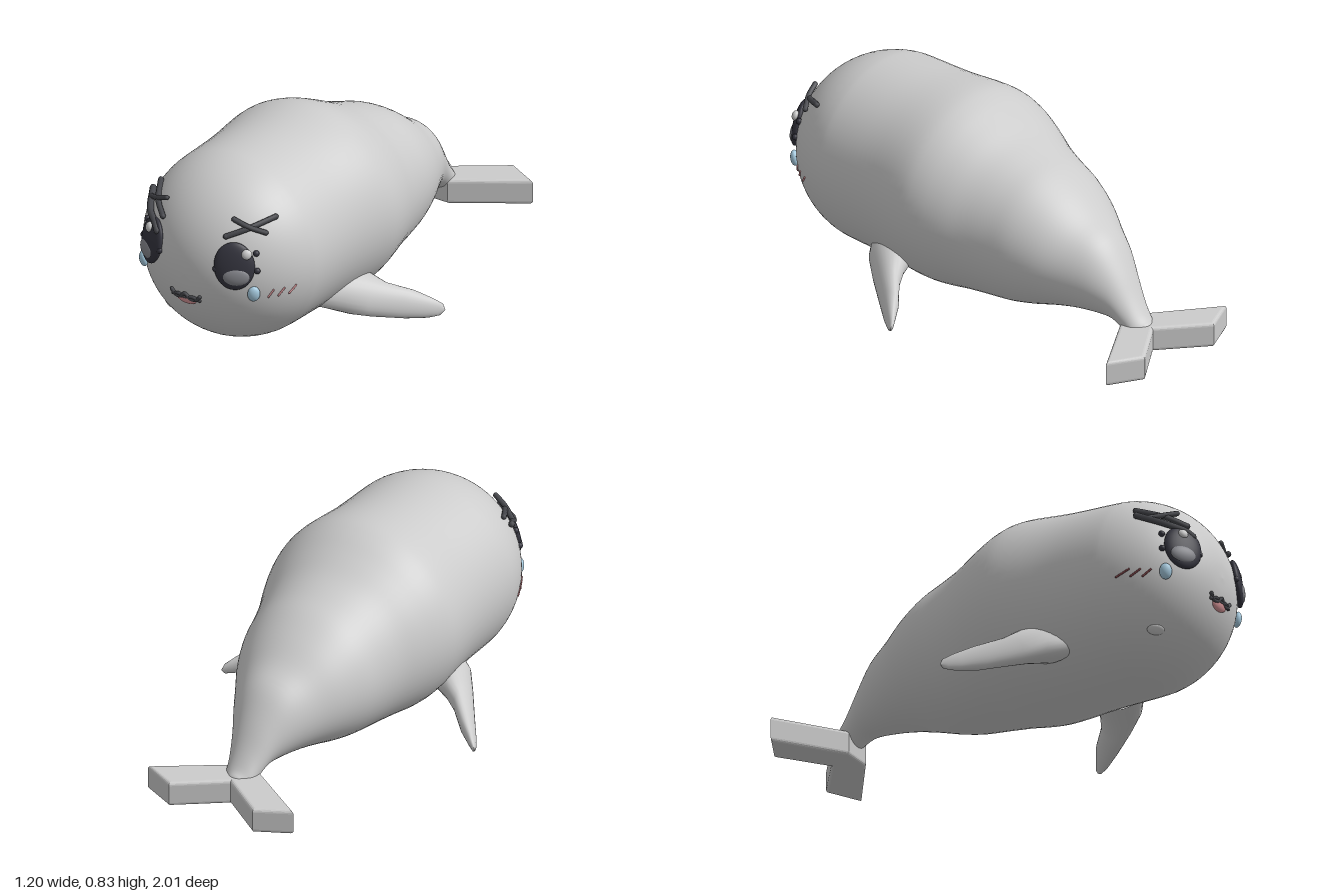
import * as THREE from 'three';

const HEAD = new THREE.Vector3(0, 0.41, 0.6), HEAD_R = 0.4;
const paint = (color) => new THREE.MeshStandardMaterial({ color });

// Smooth skin over elliptical rings; each ring is { c, u, v } (centre and two half axes)
function loft(rings, sides) {
  const pos = [], idx = [];
  rings.forEach(({ c, u, v }, i) => {
    for (let j = 0; j < sides; j++) {
      const a = (j / sides) * Math.PI * 2;
      const p = c.clone().addScaledVector(u, Math.cos(a)).addScaledVector(v, Math.sin(a));
      pos.push(p.x, p.y, p.z);
      if (i === rings.length - 1) continue;
      const k = (j + 1) % sides, r = i * sides, n = r + sides;
      idx.push(r + j, n + j, n + k, r + j, n + k, r + k);
    }
  });
  const g = new THREE.BufferGeometry();
  g.setAttribute('position', new THREE.Float32BufferAttribute(pos, 3));
  g.setIndex(idx);
  g.computeVertexNormals();
  return g;
}

// Point on the round face, seen from the front at (x, y)
function onHead(x, y, lift = 0) {
  const dy = y - HEAD.y;
  const n = new THREE.Vector3(x, dy, Math.sqrt(Math.max(0.001, HEAD_R ** 2 - x * x - dy * dy))).normalize();
  return n.multiplyScalar(HEAD_R + lift).add(HEAD);
}

export function createModel() {
  const model = new THREE.Group();
  const grey = paint(0xcccccc), dark = paint(0x34343e), charcoal = paint(0x46474c);
  const white = paint(0xdddddd), eyeGrey = paint(0x85868c), blue = paint(0xa6cbe0);
  const pink = paint(0xd9979a), red = paint(0x85494d);

  const add = (name, geometry, material) => {
    const m = new THREE.Mesh(geometry, material);
    m.name = name;
    model.add(m);
    return m;
  };
  // Flattened ball lying on the face
  const bead = (name, x, y, size, material, lift = 0, roll = 0) => {
    const m = add(name, new THREE.SphereGeometry(1, 28, 20), material);
    m.scale.set(...size);
    m.position.copy(onHead(x, y, lift));
    m.lookAt(m.position.clone().multiplyScalar(2).sub(HEAD));
    m.rotateZ(roll);
  };
  // Round stroke following the face through front-view points
  const stroke = (name, pts, r, material, lift = 0.006) => {
    const path = new THREE.CatmullRomCurve3(pts.map(([x, y]) => onHead(x, y, lift)));
    add(name, new THREE.TubeGeometry(path, 6 * pts.length, r, 8), material);
    for (const t of [0, 1]) {
      const cap = add(name + 'End', new THREE.SphereGeometry(r, 8, 6), material);
      cap.position.copy(path.getPoint(t));
    }
  };

  // Body profile: z, half width, bottom, top
  const profile = [];
  for (let i = 0; i < 9; i++) {
    const a = (i / 9) * Math.PI / 2, r = HEAD_R * Math.sin(a);
    profile.push([HEAD.z + HEAD_R * Math.cos(a), r, HEAD.y - r, HEAD.y + r]);
  }
  profile.push(
    [0.6, 0.4, 0.01, 0.81], [0.4, 0.405, 0.007, 0.818], [0.2, 0.427, 0, 0.832],
    [0.1, 0.42, 0.005, 0.815], [0, 0.39, 0.02, 0.77], [-0.1, 0.35, 0.028, 0.72],
    [-0.2, 0.32, 0.037, 0.68], [-0.3, 0.295, 0.06, 0.64], [-0.4, 0.255, 0.09, 0.58],
    [-0.5, 0.2, 0.112, 0.505], [-0.6, 0.145, 0.12, 0.44], [-0.68, 0.1, 0.115, 0.34],
    [-0.75, 0.072, 0.075, 0.23], [-0.8, 0.06, 0.05, 0.16], [-0.83, 0.035, 0.05, 0.135],
    [-0.84, 0, 0.09, 0.09]);
  const shape = new THREE.CatmullRomCurve3(profile.map(([, w, b, t]) => new THREE.Vector3(w, b, t)), false, 'catmullrom');
  const along = new THREE.CatmullRomCurve3(profile.map(([z]) => new THREE.Vector3(z, 0, 0)), false, 'catmullrom');
  const rings = [];
  for (let i = 0; i <= 96; i++) {
    const s = shape.getPoint(i / 96), z = along.getPoint(i / 96).x;
    rings.push({
      c: new THREE.Vector3(0, (s.y + s.z) / 2, z),
      u: new THREE.Vector3(Math.max(s.x, 0), 0, 0),
      v: new THREE.Vector3(0, (s.z - s.y) / 2, 0),
    });
  }
  add('body', loft(rings, 64), grey);

  // Front flipper sections: x, y, z, half depth, half height
  const fin = [
    [0.26, 0.165, 0.35, 0.12, 0.075], [0.36, 0.14, 0.295, 0.1, 0.08], [0.42, 0.105, 0.24, 0.075, 0.066],
    [0.5, 0.068, 0.145, 0.055, 0.056], [0.56, 0.043, 0.083, 0.032, 0.039],
    [0.59, 0.032, 0.05, 0.018, 0.024], [0.602, 0.028, 0.036, 0, 0]];

  for (const s of [1, -1]) {
    const side = s > 0 ? 'left' : 'right';
    add(side + 'FrontFlipper', loft(fin.map(([x, y, z, d, h]) => ({
      c: new THREE.Vector3(s * x, y, z),
      u: new THREE.Vector3(0, 0, s * d),
      v: new THREE.Vector3(0, h, -0.2 * h),
    })), 24), grey);

    // Tail fluke: rounded slab swept outwards
    const outline = new THREE.Shape([[0, 0.835], [0.2, 0.985], [0.325, 0.925], [0.06, 0.745], [0, 0.745]]
      .map(([x, y]) => new THREE.Vector2(s * x, y)));
    const fluke = new THREE.ExtrudeGeometry(outline, {
      depth: 0.078, bevelThickness: 0.015, bevelSize: 0.015, bevelSegments: 4 });
    fluke.rotateX(-Math.PI / 2).translate(0, 0.043, 0);
    add(side + 'TailFluke', fluke, grey);

    // Eye with two glints and small lashes
    bead(side + 'Eye', s * 0.203, 0.48, [0.083, 0.1, 0.026], dark, 0, s * 0.08);
    bead(side + 'EyeShine', s * 0.213, 0.44, [0.055, 0.038, 0.016], eyeGrey, 0.016);
    bead(side + 'EyeGlint', s > 0 ? 0.236 : -0.2, 0.53, [0.021, 0.021, 0.014], white, 0.024);
    for (const [x, y] of [[0.137, 0.465], [0.277, 0.46], [0.265, 0.53]])
      bead(side + 'Lash', s * x, y, [0.013, 0.013, 0.012], dark, 0.006);

    // Crossed brows
    stroke(side + 'Brow', [[s * 0.152, 0.592], [s * 0.215, 0.62], [s * 0.277, 0.65]], 0.012, charcoal, 0.01);
    stroke(side + 'Brow', [[s * 0.16, 0.65], [s * 0.215, 0.626], [s * 0.272, 0.602]], 0.011, charcoal, 0.016);

    // Tear and cheek marks
    bead(side + 'Tear', s * 0.267, 0.36, [0.026, 0.034, 0.018], blue, 0.008);
    for (const x of [0.315, 0.34, 0.363])
      stroke(side + 'CheekMark', [[s * x - 0.009, 0.335], [s * x + 0.007, 0.365]], 0.004, s > 0 ? pink : red, 0.002);
  }

  // Heavy extra lid over the right eye
  stroke('rightUpperLid', [[-0.297, 0.612], [-0.24, 0.575], [-0.18, 0.555], [-0.155, 0.535]], 0.014, charcoal, 0.016);

  // Mouth: wavy lip over a pink tongue
  bead('tongue', 0, 0.293, [0.047, 0.024, 0.012], pink, 0);
  stroke('upperLip', [[-0.068, 0.322], [-0.05, 0.303], [-0.025, 0.302], [0, 0.322],
    [0.025, 0.302], [0.05, 0.303], [0.068, 0.322]], 0.008, charcoal);
  stroke('lipFold', [[-0.065, 0.303], [-0.035, 0.313], [0, 0.306], [0.035, 0.313], [0.065, 0.303]], 0.007, charcoal);

  // Small bump low on the right cheek
  bead('chinBump', -0.21, 0.145, [0.036, 0.022, 0.008], grey, 0);

  return model;
}
